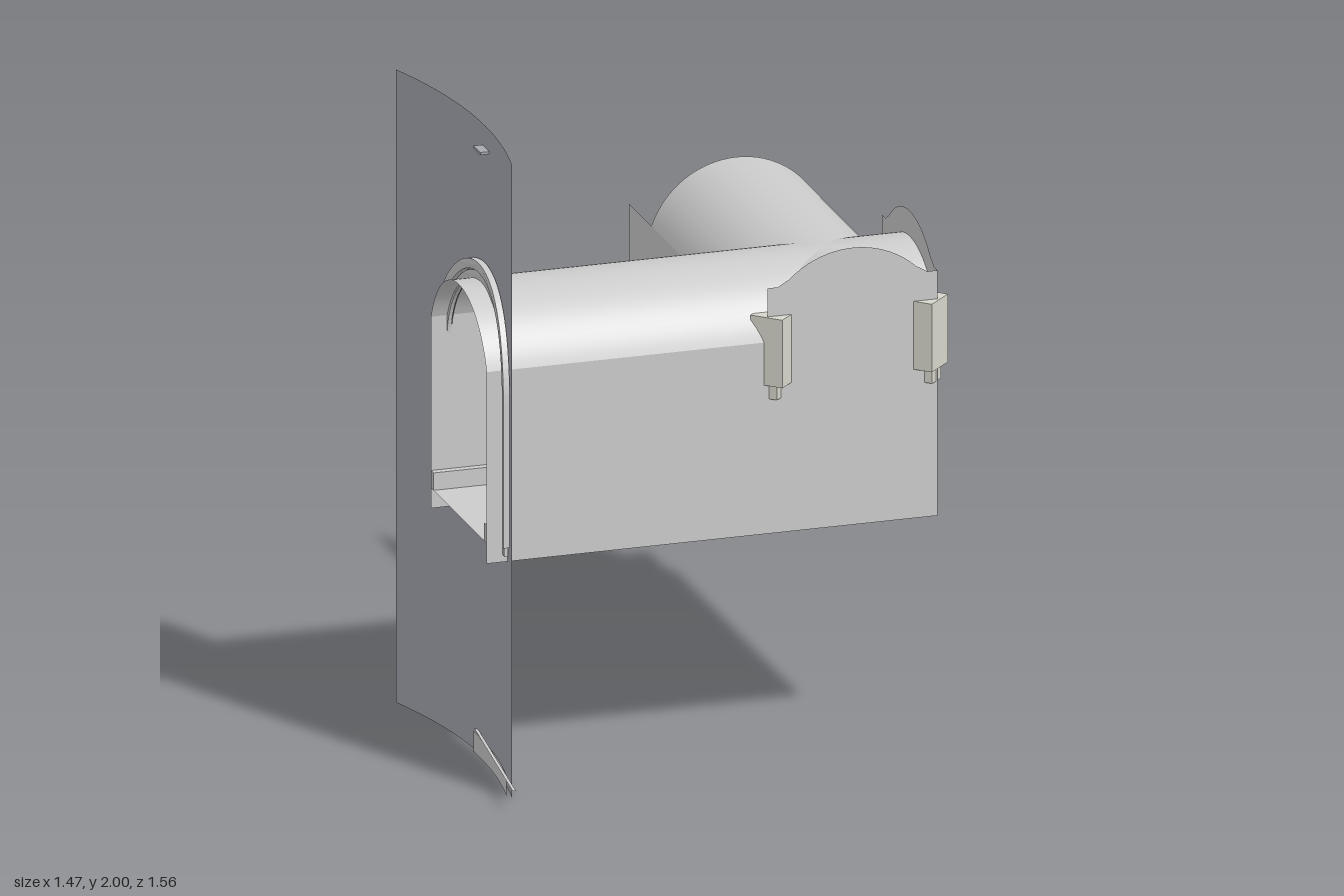
import * as THREE from 'three';

const mat = (color) => new THREE.MeshStandardMaterial({ color, side: THREE.DoubleSide });
const grey = mat(0xcccccc), slate = mat(0xa8a8b2), pale = mat(0xd6d6cc);

// corridor dimensions: the two arms cross at (CX, CZ)
const CX = 0.42, CZ = 0.285, H = 0.267, BASE = 0.715, FLOOR = 0.78, SPRING = 1.32, TOP = 1.51;
const X0 = CX - H, X1 = CX + H, Z0 = CZ - H, Z1 = CZ + H, XEND = -0.73;
const R = (H * H + (TOP - SPRING) ** 2) / (2 * (TOP - SPRING));
const SWEEP = Math.asin(H / R);

// x of the curved screen at a given z
const BOW = 1.84;
const screenX = (z) => -0.645 - BOW + Math.sqrt(BOW * BOW - (z - CZ) ** 2);

export function createModel() {
  const model = new THREE.Group();
  const lerp = THREE.MathUtils.lerp;

  const add = (name, geo, material = grey) => {
    const mesh = new THREE.Mesh(geo, material);
    mesh.name = name;
    model.add(mesh);
    return mesh;
  };

  // grid surface from fn(u, v) -> [x, y, z]
  const sheet = (name, fn, nu = 1, nv = 1, material = grey) => {
    const geo = new THREE.PlaneGeometry(1, 1, nu, nv);
    const p = geo.attributes.position;
    for (let i = 0; i < p.count; i++) p.setXYZ(i, ...fn(p.getX(i) + 0.5, p.getY(i) + 0.5));
    geo.computeVertexNormals();
    return add(name, geo, material);
  };
  const wallX = (name, xa, xb, z, ya, yb) =>
    sheet(name, (u, v) => [lerp(xa, xb, u), lerp(ya, yb, v), z]);
  const wallZ = (name, za, zb, x, ya, yb) =>
    sheet(name, (u, v) => [x, lerp(ya, yb, v), lerp(zb, za, u)]);
  const slab = (name, xa, xb, za, zb, y) =>
    sheet(name, (u, v) => [lerp(xa, xb, u), y, lerp(zb, za, v)]);

  // floors, raised above the lower edge of the walls
  slab('longArmFloor', XEND, X1, Z0, Z1, FLOOR);
  slab('backArmFloor', X0, X1, -0.78, Z0, FLOOR);

  // walls of the two arms
  wallX('frontWall', XEND, X0, Z1, BASE, SPRING);
  wallX('innerLongWall', X0, XEND, Z0, BASE, SPRING);
  wallZ('innerBackWall', Z0, -0.78, X0, BASE, SPRING);
  wallZ('outerBackWall', -0.62, Z0, X1, BASE, SPRING);

  // skirting along both sides of the long arm
  const skirting = (name, xa, xb, z) =>
    add(name, new THREE.BoxGeometry(xb - xa, 0.055, 0.024)).position.set((xa + xb) / 2, FLOOR + 0.0275, z);
  skirting('frontSkirting', XEND, X1 - 0.005, Z1 - 0.014);
  skirting('innerSkirting', XEND, X0, Z0 + 0.014);

  // vaults: every arm starts on the groin diagonals of the crossing
  const vault = (name, alongX, dir, end) => sheet(name, (u, v) => {
    const a = lerp(-SWEEP, SWEEP, u);
    const c = R * Math.sin(a), y = TOP - R + R * Math.cos(a);
    const d = lerp(Math.abs(c), end, v) * dir;
    return alongX ? [CX + d, y, CZ - c * dir] : [CX + c * dir, y, CZ + d];
  }, 32, 8);
  vault('longVault', true, -1, CX - XEND);
  vault('backVault', false, -1, CZ + 0.565);
  vault('rightVault', true, 1, H);
  vault('frontVault', false, 1, H);

  // end walls with an arched, shouldered top
  const gable = new THREE.Shape();
  gable.moveTo(-H, BASE).lineTo(H, BASE).lineTo(H, 1.49).lineTo(0.235, 1.49).lineTo(0.21, 1.505);
  for (let i = 0; i <= 20; i++) {
    const x = lerp(0.2, -0.2, i / 20);
    gable.lineTo(x, 1.59 - 0.29 + Math.sqrt(0.29 ** 2 - x * x));
  }
  gable.lineTo(-0.21, 1.505).lineTo(-0.235, 1.49).lineTo(-H, 1.49).closePath();
  const gableGeo = new THREE.ShapeGeometry(gable);
  add('frontGable', gableGeo).position.set(CX, 0, Z1);
  const side = add('rightGable', gableGeo);
  side.position.set(X1, 0, CZ);
  side.rotation.y = Math.PI / 2;

  // corner brackets: diagonal blocks mirrored about the crossing
  const prism = (s, y, h) => {
    const pts = [[0.215, 0.215], [0.265, 0.19], [0.31, 0.235], [0.235, 0.31], [0.19, 0.265]];
    const shape = new THREE.Shape(pts.map(([x, z]) =>
      new THREE.Vector2(0.255 + (x - 0.255) * s, -(0.255 + (z - 0.255) * s))));
    const g = new THREE.ExtrudeGeometry(shape, { depth: h, bevelEnabled: false });
    return g.rotateX(-Math.PI / 2).translate(0, y, 0);
  };
  for (const [sx, sz, name] of [[1, 1, 'frontRight'], [-1, 1, 'frontLeft'], [1, -1, 'backRight']]) {
    for (const [part, s, y, h] of [['Bracket', 1, 1.185, 0.215], ['BracketFoot', 0.55, 1.14, 0.045]]) {
      const m = add(name + part, prism(s, y, h), pale);
      m.position.set(CX, 0, CZ);
      m.scale.set(sx, 1, sz);
    }
  }
  // inner corner: a tapered cup on a slim post
  const cup = prism(1, 1.32, 0.08);
  const cp = cup.attributes.position;
  for (let i = 0; i < cp.count; i++) {
    if (cp.getY(i) > 1.36) continue;
    cp.setX(i, lerp(0.26, cp.getX(i), 0.5));
    cp.setZ(i, lerp(0.26, cp.getZ(i), 0.5));
  }
  cup.computeVertexNormals();
  const cupMesh = add('innerCup', cup, pale);
  cupMesh.position.set(CX, 0, CZ);
  cupMesh.scale.set(-1, 1, -1);
  add('innerCupPost', new THREE.BoxGeometry(0.02, 0.14, 0.02), pale)
    .position.set(X0 - 0.005, 1.26, Z0 - 0.005);

  // curved screen with an arched doorway
  const DR = 0.27, DC = 1.24;
  const doorTop = (z) => DC + Math.sqrt(Math.max(0, DR * DR - (z - CZ) ** 2));
  const screen = (name, zAt, bottom, top, n) => sheet(name, (u, v) => {
    const z = zAt(u);
    return [screenX(z), lerp(bottom(z), top(z), v), z];
  }, n, 1, slate);
  const at = (y) => () => y;
  screen('screenBackSide', (u) => lerp(CZ - DR, -0.293, u), at(0), at(2), 8);
  screen('screenFrontSide', (u) => lerp(0.65, CZ + DR, u), at(0), at(2), 4);
  const doorZ = (u) => CZ + DR * Math.cos(u * Math.PI);
  screen('screenAboveDoor', doorZ, doorTop, at(2), 24);
  screen('screenBelowDoor', doorZ, at(0), at(BASE), 24);

  // door frame: nested arched bands bent to follow the back of the screen
  const band = (name, ro, ri, y0, front, depth) => {
    const s = new THREE.Shape();
    s.moveTo(CZ + ro, y0).lineTo(CZ + ro, DC).absarc(CZ, DC, ro, 0, Math.PI, false);
    s.lineTo(CZ - ro, y0).lineTo(CZ - ri, y0).lineTo(CZ - ri, DC);
    s.absarc(CZ, DC, ri, Math.PI, 0, true).lineTo(CZ + ri, y0).closePath();
    const g = new THREE.ExtrudeGeometry(s, { depth, bevelEnabled: false, curveSegments: 20 });
    const p = g.attributes.position;
    for (let i = 0; i < p.count; i++) {
      const z = p.getX(i);
      p.setXYZ(i, screenX(z) + front - p.getZ(i), p.getY(i), z);
    }
    g.computeVertexNormals();
    add(name, g);
  };
  band('outerDoorFrame', 0.33, 0.3, 0.78, -0.003, 0.02);
  band('innerDoorFrame', 0.295, 0.268, 0.74, -0.003, 0.012);

  // small plate near the top of the screen
  add('topPlate', new THREE.BoxGeometry(0.03, 0.008, 0.065), slate).position.set(-0.658, 1.927, CZ);

  // straight flat strip crossing the foot of the screen, and a plate behind it
  sheet('footStrip', (u, v) => [lerp(-0.643, -0.712, u) - 0.01 * v, 0.07, lerp(0.2, 0.78, u)]);
  sheet('footPlate', (u, v) => {
    const z = lerp(0.22, 0.63, u);
    return [screenX(z) - 0.016, lerp(0.005, 0.07, v), z];
  }, 8, 1);

  return model;
}
